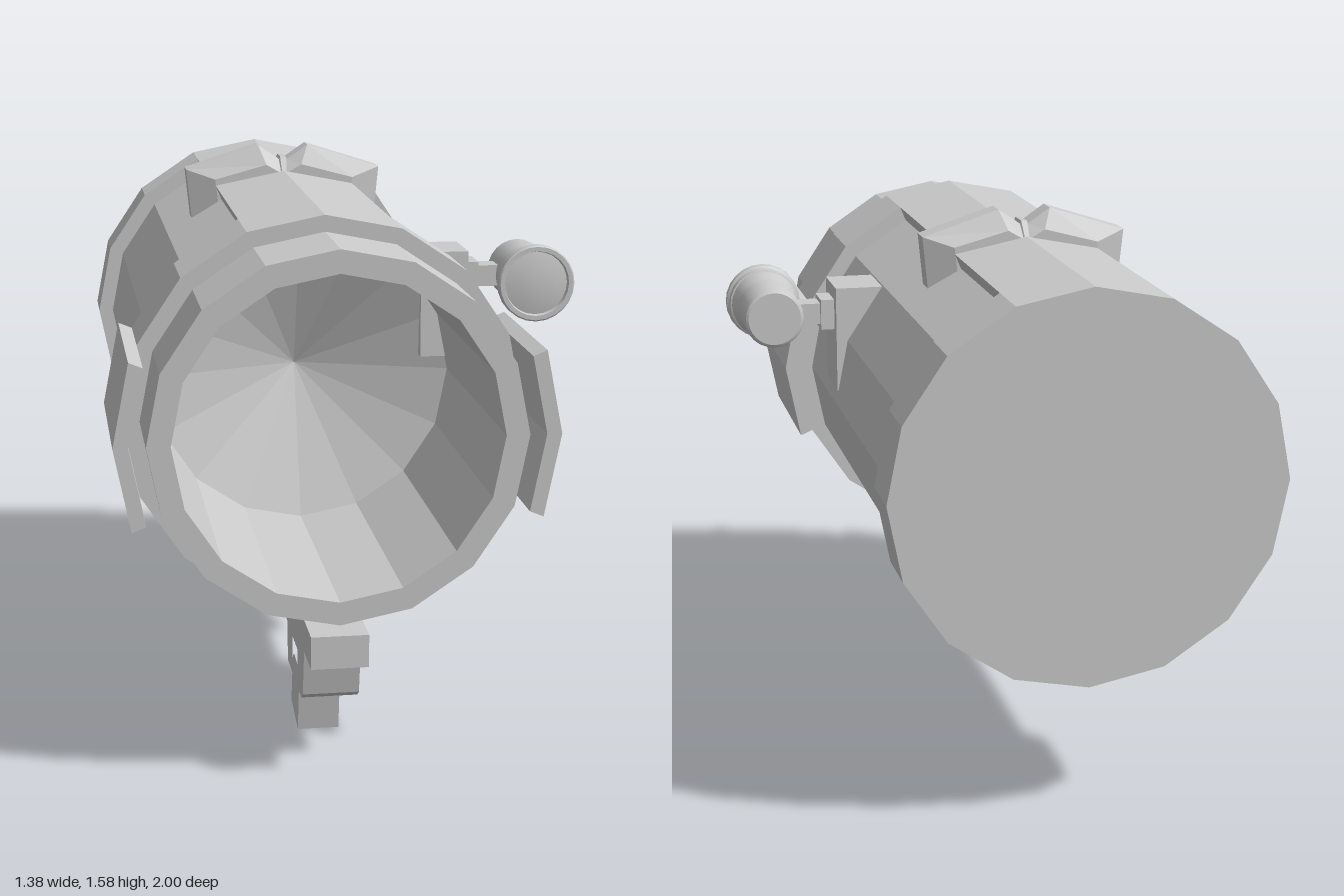
import * as THREE from 'three';
import { toCreasedNormals } from 'three/addons/utils/BufferGeometryUtils.js';

const CX = -0.105, CY = 0.96; // axis of the main tube
const flat = new THREE.MeshStandardMaterial({ color: 0xcccccc, flatShading: true });
const smooth = new THREE.MeshStandardMaterial({ color: 0xcccccc });
const STEP = Math.PI / 8; // one facet of the sixteen-sided tube

const toShape = (pts) => new THREE.Shape(pts.map(([x, y]) => new THREE.Vector2(x, y)));

// Turned part along z from [radius, z] points
function turned(pts, sides) {
  return new THREE.LatheGeometry(pts.map(([r, z]) => new THREE.Vector2(r, z)), sides).rotateX(Math.PI / 2);
}

// Two-facet curved slab around the tube axis, centred on angle mid
function arcSlab(r0, r1, mid, z0, z1) {
  const at = (r, k) => [r * Math.cos(mid + k * STEP), r * Math.sin(mid + k * STEP)];
  const pts = [at(r1, -1), at(r1, 0), at(r1, 1), at(r0, 1), at(r0, 0), at(r0, -1)];
  return new THREE.ExtrudeGeometry(toShape(pts), { depth: z1 - z0, bevelEnabled: false })
    .translate(CX, CY, z0);
}

// Side profile in (z, y), extruded across the given width
function sideProfile(shape, width) {
  return new THREE.ExtrudeGeometry(shape, { depth: width, bevelEnabled: false })
    .rotateY(-Math.PI / 2).translate(CX + width / 2, 0, 0);
}

// Box given by its limits
function span(x0, x1, y0, y1, z0, z1) {
  return new THREE.BoxGeometry(x1 - x0, y1 - y0, z1 - z0)
    .translate((x0 + x1) / 2, (y0 + y1) / 2, (z0 + z1) / 2);
}

export function createModel() {
  const model = new THREE.Group();
  model.name = 'tubeLauncher';
  const add = (name, geometry, material = flat) => {
    const mesh = new THREE.Mesh(geometry, material);
    mesh.name = name;
    model.add(mesh);
    return mesh;
  };

  // Main tube: rear collar, body, front ring, muzzle and bore
  add('mainTube', turned([
    [0, -1], [0.545, -1], [0.545, -0.83], [0.5, -0.83], [0.5, 0.49], [0.545, 0.49],
    [0.545, 0.72], [0.5, 0.72], [0.5, 1], [0.437, 1], [0.437, 0.2], [0, 0.05],
  ], 16)).position.set(CX, CY, 0);

  // Raised strip along the top and plates beside the muzzle
  add('topRidge', arcSlab(0.48, 0.545, Math.PI / 2, -0.83, 0.49));
  add('leftPlate', arcSlab(0.545, 0.585, 0, 0.49, 1));
  add('rightPlate', arcSlab(0.545, 0.585, Math.PI, 0.49, 1));

  // Notched sight, tapering towards its front and back faces
  const sight = new THREE.ExtrudeGeometry(toShape([
    [-0.28, 1.36], [0.28, 1.36], [0.295, 1.51], [0.075, 1.58], [0.012, 1.537], [0.008, 1.545],
    [-0.008, 1.545], [-0.012, 1.537], [-0.075, 1.58], [-0.295, 1.51],
  ]), { depth: 3, steps: 3, bevelEnabled: false });
  const p = sight.attributes.position;
  const layers = [-0.3, -0.267, -0.2, -0.17];
  for (let i = 0; i < p.count; i++) {
    const k = Math.round(p.getZ(i));
    const end = k === 0 || k === 3;
    p.setXYZ(i, CX + p.getX(i) * (end ? 0.71 : 1),
      end ? 1.44 + (p.getY(i) - 1.44) * 0.6 : p.getY(i), layers[k]);
  }
  sight.computeVertexNormals();
  add('sight', sight);

  // Side scope on its bracket
  add('scopeBracket', span(0.25, 0.39, 1.0, 1.31, 0.03, 0.21));
  add('scopeStemBase', span(0.38, 0.43, 1.18, 1.27, 0.065, 0.167));
  add('scopeStem', span(0.42, 0.51, 1.195, 1.257, 0.08, 0.153));
  const scope = turned([
    [0, 0.03], [0.078, 0.03], [0.085, 0.034], [0.088, 0.042], [0.088, 0.17], [0.09, 0.195],
    [0.1, 0.235], [0.1, 0.245], [0.105, 0.247], [0.105, 0.275], [0.112, 0.28], [0.112, 0.305],
    [0.108, 0.308], [0.095, 0.308], [0.092, 0.295], [0.06, 0.301], [0, 0.304],
  ], 24);
  add('scope', toCreasedNormals(scope, 0.5), smooth).position.set(0.573, 1.227, 0);

  // Underside rail with an open window in the grip mount
  const rail = toShape([
    [1, 0.43], [1, 0.34], [0.86, 0.34], [0.83, 0.205], [0.8, 0.185], [0.5, 0.185], [0.5, 0.3],
    [0, 0.3], [0, 0.42], [-0.36, 0.42], [-0.36, 0.48], [0.49, 0.48], [0.49, 0.43],
  ]);
  rail.holes.push(new THREE.Path([[0.72, 0.21], [0.605, 0.21], [0.605, 0.295], [0.72, 0.295]]
    .map(([z, y]) => new THREE.Vector2(z, y))));
  add('underRail', sideProfile(rail, 0.155));
  add('rearRailBlock', span(CX - 0.0775, CX + 0.0775, 0.375, 0.485, -0.78, -0.36));

  // Slanted grip
  add('grip', sideProfile(toShape([
    [0.61, 0.19], [0.575, 0], [0.43, 0.035], [0.465, 0.185], [0.5, 0.2],
  ]), 0.117));

  return model;
}
